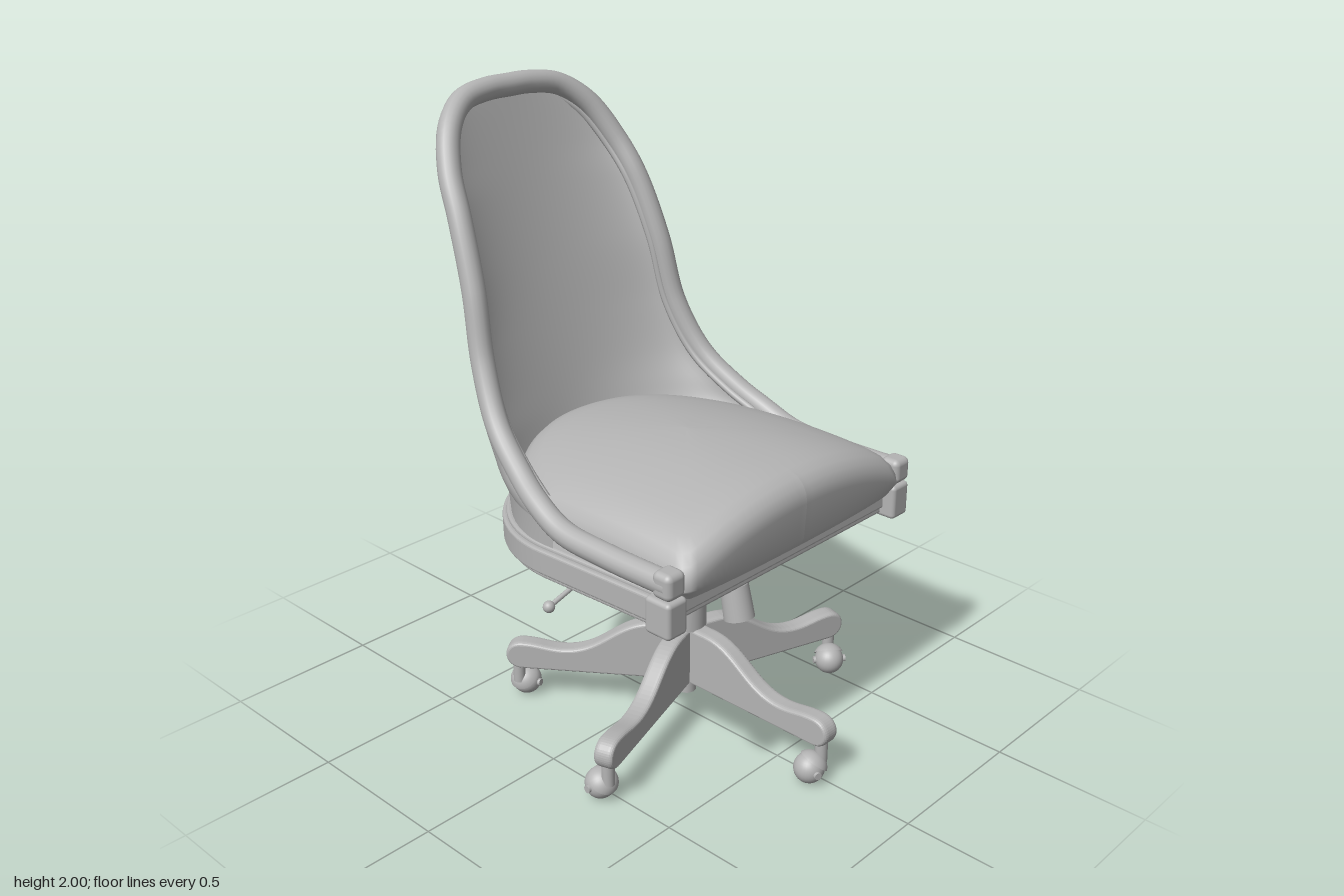
import * as THREE from 'three';
import { RoundedBoxGeometry } from 'three/addons/geometries/RoundedBoxGeometry.js';

const V = (x, y, z) => new THREE.Vector3(x, y, z);

// Smooth surface through rows of points; each row has the same length
function loft(rows, flip = false) {
  const n = rows[0].length, index = [];
  for (let i = 0; i < rows.length - 1; i++) {
    for (let j = 0; j < n - 1; j++) {
      const a = i * n + j, b = a + 1, c = a + n, d = c + 1;
      if (flip) index.push(a, c, b, b, c, d);
      else index.push(a, b, c, b, d, c);
    }
  }
  const g = new THREE.BufferGeometry().setFromPoints(rows.flat());
  g.setIndex(index);
  g.computeVertexNormals();
  return g;
}

export function createModel() {
  const model = new THREE.Group();
  const grey = new THREE.MeshStandardMaterial({ color: 0xb4b4b4, side: THREE.DoubleSide });
  grey.name = 'plain grey';

  const add = (name, geometry, parent = model) => {
    const m = new THREE.Mesh(geometry, grey);
    m.name = name;
    parent.add(m);
    return m;
  };
  // Cylinder between two points
  const rod = (name, a, b, r0, r1 = r0, parent = model) => {
    const d = b.clone().sub(a);
    const m = add(name, new THREE.CylinderGeometry(r1, r0, d.length(), 28), parent);
    m.position.copy(a).addScaledVector(d, 0.5);
    m.quaternion.setFromUnitVectors(V(0, 1, 0), d.normalize());
    return m;
  };

  // Rim: runs along the seat side, sweeps up and arches over the back
  const half = [
    V(0.525, 0.836, 0.53), V(0.525, 0.836, 0.28), V(0.525, 0.85, 0.1), V(0.513, 0.898, -0.018),
    V(0.49, 0.955, -0.12), V(0.458, 1.058, -0.25), V(0.425, 1.225, -0.345), V(0.403, 1.44, -0.4),
    V(0.378, 1.645, -0.48), V(0.35, 1.765, -0.55), V(0.29, 1.88, -0.615), V(0.2, 1.945, -0.66),
    V(0.09, 1.964, -0.675), V(0, 1.965, -0.677),
  ];
  const mirrored = half.slice(0, -1).reverse().map((p) => V(-p.x, p.y, p.z));
  const rimCurve = new THREE.CatmullRomCurve3([...half, ...mirrored], false, 'centripetal');
  add('backRim', new THREE.TubeGeometry(rimCurve, 180, 0.037, 16));

  // Thin welt just inside the rim
  const weltCurve = new THREE.CatmullRomCurve3([...half, ...mirrored].slice(3, -3).map(
    (p) => V(p.x * 0.915, p.y - 0.035 * Math.max(0, (p.y - 1.5) / 0.46), p.z - 0.008)), false, 'centripetal');
  add('backWelt', new THREE.TubeGeometry(weltCurve, 140, 0.012, 8));

  // Curved back panels, each row an arc from rim to rim
  const edge = rimCurve.getSpacedPoints(240).slice(0, 121).filter((p) => p.z < 0.09);
  const arc = (w, y, zSide, zMid, yMid = y) => Array.from({ length: 41 }, (_, j) => {
    const a = (j / 40 - 0.5) * Math.PI;
    const c = Math.cos(a);
    return V(w * Math.sin(a), y + (yMid - y) * c, zSide + (zMid - zSide) * c);
  });
  const innerRows = edge.map((p) =>
    arc(p.x * 0.97, p.y, p.z, Math.min(p.z, -0.385 - 0.262 * (p.y - 0.85))));
  add('backInnerPanel', loft(innerRows));

  const outerRows = edge.map((p) => {
    const k = THREE.MathUtils.clamp((p.y - 0.85) / 1.11, 0, 1);
    const y = p.y - 0.045 * k;
    return arc(p.x * (1.03 - 0.06 * k), y, p.z - 0.028 * k, -0.44 - 0.237 * (y - 0.77));
  });
  outerRows.unshift(arc(0.538, 0.79, 0.07, -0.437, 0.75));
  add('backOuterPanel', loft(outerRows, true));

  // Seat frame: rounded-back boards, tilted slightly to the rear
  const boardShape = (w, front, back) => {
    const s = new THREE.Shape();
    s.moveTo(-w, -front);
    s.lineTo(w, -front);
    s.lineTo(w, -0.05);
    s.absellipse(0, -0.05, w, 0.05 - back, 0, Math.PI, false, 0);
    s.lineTo(-w, -front);
    return s;
  };
  const frame = new THREE.Group();
  frame.name = 'seatFrame';
  frame.rotation.x = -0.035;
  model.add(frame);
  const board = (name, w, front, back, y, h) => {
    const g = new THREE.ExtrudeGeometry(boardShape(w - 0.008, front - 0.008, back + 0.008), {
      depth: h - 0.016, bevelThickness: 0.008, bevelSize: 0.008, bevelSegments: 3, curveSegments: 48,
    });
    g.rotateX(-Math.PI / 2);
    add(name, g, frame).position.y = y + 0.008;
  };
  board('seatRail', 0.55, 0.535, -0.435, 0.69, 0.08);
  board('seatBoard', 0.535, 0.525, -0.42, 0.67, 0.03);
  board('seatTrim', 0.535, 0.545, -0.425, 0.762, 0.02);

  // Corner blocks at the front of the rails
  for (const s of [-1, 1]) {
    add('frontBlock', new RoundedBoxGeometry(0.08, 0.115, 0.095, 4, 0.014)).position.set(s * 0.52, 0.735, 0.505);
    add('rimEnd', new RoundedBoxGeometry(0.074, 0.082, 0.07, 4, 0.02)).position.set(s * 0.523, 0.837, 0.518);
  }

  // Domed cushion: scaled rings of one outline
  const outline = new THREE.Shape();
  outline.moveTo(0, 0.578);
  outline.quadraticCurveTo(-0.3, 0.578, -0.47, 0.562);
  outline.quadraticCurveTo(-0.5, 0.56, -0.5, 0.52);
  outline.lineTo(-0.5, -0.06);
  outline.bezierCurveTo(-0.45, -0.25, -0.25, -0.42, 0, -0.42);
  outline.bezierCurveTo(0.25, -0.42, 0.45, -0.25, 0.5, -0.06);
  outline.lineTo(0.5, 0.52);
  outline.quadraticCurveTo(0.5, 0.56, 0.47, 0.562);
  outline.quadraticCurveTo(0.3, 0.578, 0, 0.578);
  const ring = outline.getSpacedPoints(140);
  const profile = [[0.001, 0], [0.2, 0], [0.4, 0], [0.6, 0], [0.75, 0], [0.85, 0.004], [0.92, 0.014],
    [0.965, 0.032], [0.99, 0.055], [1, 0.085], [0.985, 0.8], [0.95, 0.77]];
  add('seatCushion', loft(profile.map(([f, drop]) => ring.map((p) => {
    const x = p.x * f, z = 0.1 + (p.y - 0.1) * f;
    const top = 1.02 - 0.115 * Math.abs(x / 0.5) ** 2.2 - 0.16 * (z - 0.22) ** 2;
    return V(x, drop > 0.5 ? drop : top - drop, z);
  }))));

  // Tilt mechanism under the seat
  const cz = 0.108;
  add('mountPlate', new THREE.BoxGeometry(0.25, 0.015, 0.44)).position.set(0, 0.672, 0.07);
  const bracket = new THREE.Shape([[0.3, 0.675], [0.17, 0.605], [0.02, 0.6], [-0.16, 0.66], [-0.16, 0.675]]
    .map(([z, y]) => new THREE.Vector2(-z, y)));
  for (const s of [-1, 1]) {
    const g = new THREE.ExtrudeGeometry(bracket, { depth: 0.016, bevelEnabled: false });
    g.rotateY(Math.PI / 2);
    add('sideBracket', g).position.x = s * 0.113 - 0.008;
  }
  rod('tiltAxle', V(-0.128, 0.625, 0.13), V(0.128, 0.625, 0.13), 0.016);
  rod('mechanismHousing', V(0, 0.56, cz), V(0, 0.67, cz), 0.05, 0.085);
  rod('tensionSpring', V(0, 0.585, 0.296), V(0, 0.67, 0.278), 0.055, 0.068);
  rod('tensionNeck', V(0, 0.53, 0.31), V(0, 0.6, 0.294), 0.042);
  rod('tensionKnob', V(0, 0.44, 0.33), V(0, 0.55, 0.305), 0.05, 0.046);

  // Height lever on the right
  const lever = new THREE.CurvePath();
  lever.add(new THREE.LineCurve3(V(-0.08, 0.612, 0.02), V(-0.33, 0.612, 0.02)));
  lever.add(new THREE.QuadraticBezierCurve3(V(-0.33, 0.612, 0.02), V(-0.36, 0.612, 0.02), V(-0.39, 0.602, 0.018)));
  lever.add(new THREE.LineCurve3(V(-0.39, 0.602, 0.018), V(-0.51, 0.565, 0.016)));
  add('heightLever', new THREE.TubeGeometry(lever, 40, 0.008, 10));
  add('leverKnob', new THREE.SphereGeometry(0.019, 20, 14)).position.set(-0.513, 0.565, 0.016);

  // Column
  rod('columnTop', V(0, 0.52, cz), V(0, 0.58, cz), 0.045);
  rod('column', V(0, 0.33, cz), V(0, 0.53, cz), 0.063);
  rod('hub', V(0, 0.13, cz), V(0, 0.335, cz), 0.045);
  rod('hubPeg', V(0, 0.085, cz), V(0, 0.14, cz), 0.032);

  // Five swept legs with casters
  const side = new THREE.Shape();
  side.moveTo(0, 0.14);
  side.lineTo(-0.545, 0.14);
  side.bezierCurveTo(-0.605, 0.14, -0.605, 0.218, -0.545, 0.218);
  side.bezierCurveTo(-0.49, 0.218, -0.46, 0.203, -0.41, 0.203);
  side.bezierCurveTo(-0.27, 0.203, -0.23, 0.325, -0.1, 0.325);
  side.lineTo(0, 0.325);
  const legGeo = new THREE.ExtrudeGeometry(side, {
    depth: 0.03, bevelThickness: 0.016, bevelSize: 0.01, bevelSegments: 4, curveSegments: 20,
  });
  legGeo.translate(0, 0, -0.015);
  legGeo.rotateY(Math.PI / 2);
  const wheelGeo = new THREE.SphereGeometry(0.049, 28, 20);
  const hoodGeo = new THREE.SphereGeometry(0.054, 24, 10, 0, Math.PI * 2, 0, Math.PI * 0.36);
  for (let i = 0; i < 5; i++) {
    const leg = new THREE.Group();
    leg.name = 'legWithCaster';
    leg.position.z = cz;
    leg.rotation.y = i * Math.PI * 2 / 5;
    model.add(leg);
    add('leg', legGeo, leg);
    rod('casterStem', V(0, 0.07, 0.562), V(0, 0.145, 0.562), 0.02, 0.02, leg);
    add('casterWheel', wheelGeo, leg).position.set(-0.035, 0.055, 0.545);
    const hood = add('casterHood', hoodGeo, leg);
    hood.position.set(-0.033, 0.055, 0.546);
    hood.rotation.set(0.3, 0, -0.6);
    rod('casterAxle', V(-0.055, 0.055, 0.597), V(-0.015, 0.055, 0.493), 0.012, 0.012, leg);
  }

  return model;
}
